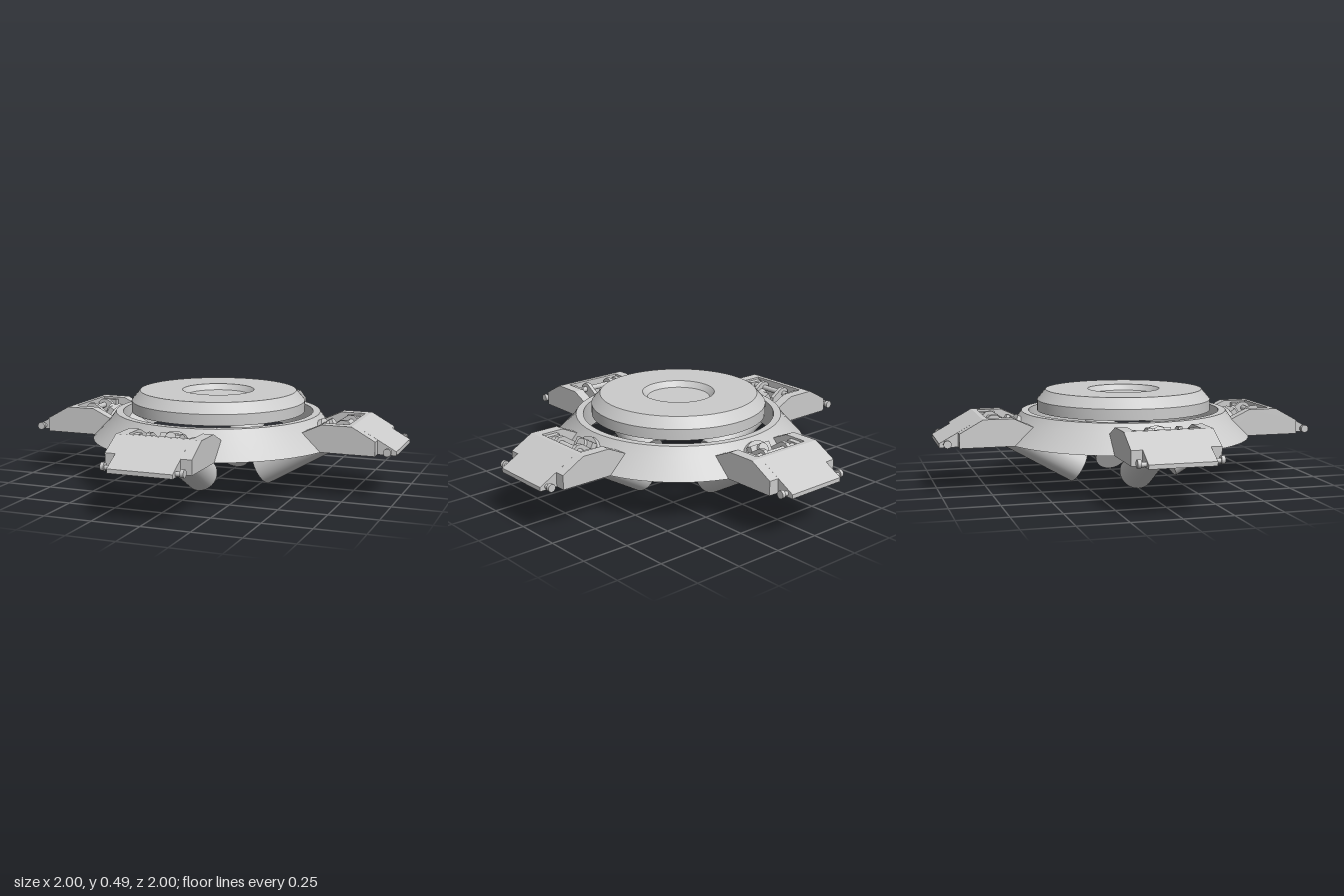
import * as THREE from 'three';
import { toCreasedNormals } from 'three/addons/utils/BufferGeometryUtils.js';

const material = new THREE.MeshStandardMaterial({ color: 0xcccccc });
const shellMaterial = new THREE.MeshStandardMaterial({ color: 0xcccccc, side: THREE.DoubleSide });
const v2 = (points) => points.map(([x, y]) => new THREE.Vector2(x, y));

function add(parent, name, geometry, x = 0, y = 0, z = 0, mat = material) {
  const mesh = new THREE.Mesh(geometry, mat);
  mesh.name = name;
  mesh.position.set(x, y, z);
  parent.add(mesh);
  return mesh;
}

const lathe = (points) => toCreasedNormals(new THREE.LatheGeometry(v2(points), 72), 0.4);

// Side profile (radius, height) extruded across the arm, centred on z = 0
function slab(points, width) {
  const g = new THREE.ExtrudeGeometry(new THREE.Shape(v2(points)), { depth: width, bevelEnabled: false });
  return g.translate(0, 0, -width / 2);
}

// Cylinder lying across the arm
const crossPin = (radius, length) =>
  new THREE.CylinderGeometry(radius, radius, length, 20).rotateX(Math.PI / 2);

// One arm, pointing along +x
function createArm() {
  const arm = new THREE.Group();
  arm.name = 'arm';

  // Sloped outer plate
  add(arm, 'footPlate', slab([[0.76, 0.245], [1, 0.245], [1, 0.266], [0.785, 0.385], [0.76, 0.385]], 0.33));

  // Thruster tilted 30 degrees, its mouth low and towards the centre
  const thruster = new THREE.Group();
  thruster.name = 'thruster';
  thruster.position.set(0.62, 0.3, 0);
  thruster.rotation.z = Math.PI / 6;
  arm.add(thruster);
  add(thruster, 'thrusterTube', new THREE.CylinderGeometry(0.088, 0.088, 0.43, 40).rotateZ(Math.PI / 2), -0.215);
  add(thruster, 'thrusterBracket', new THREE.BoxGeometry(0.03, 0.06, 0.13), 0.015, 0.035);
  add(thruster, 'bracketBolt', new THREE.CylinderGeometry(0.03, 0.03, 0.02, 20).rotateZ(Math.PI / 2), 0.038, 0.035);

  // Hinge pin joining the bracket to the cheeks
  add(arm, 'hingePin', crossPin(0.015, 0.36), 0.712, 0.355);

  for (const side of [-1, 1]) {
    add(arm, 'cheek', slab([[0.53, 0.245], [0.905, 0.245], [0.905, 0.318], [0.785, 0.385],
      [0.633, 0.385], [0.53, 0.337]], 0.055), 0, 0, side * 0.1925);
    add(arm, 'bracketEar', slab([[0.625, 0.29], [0.70, 0.315], [0.745, 0.345], [0.745, 0.37],
      [0.725, 0.388], [0.695, 0.388], [0.63, 0.345]], 0.022), 0, 0, side * 0.076);
    add(arm, 'hingeBoss', new THREE.BoxGeometry(0.08, 0.06, 0.03), 0.712, 0.345, side * 0.148);
    // Bolt at the outer tip
    add(arm, 'tipBoltShaft', crossPin(0.012, 0.05), 0.962, 0.262, side * 0.18);
    add(arm, 'tipBoltHead', crossPin(0.02, 0.018), 0.962, 0.266, side * 0.2);
  }
  return arm;
}

export function createModel() {
  const model = new THREE.Group();
  model.name = 'radialThrusterPlatform';

  // Sloped outer ring, closed cross-section
  add(model, 'outerRing', lathe([[0.505, 0.245], [0.665, 0.245], [0.573, 0.342],
    [0.543, 0.385], [0.505, 0.385], [0.505, 0.245]]));

  // Hollow cap with a bevelled rim and a shallow central recess
  add(model, 'topCap', lathe([[0.46, 0.385], [0.46, 0.442], [0.415, 0.495],
    [0.19, 0.495], [0.165, 0.465], [0, 0.465]]), 0, 0, 0, shellMaterial);

  // Four arms at right angles
  for (let i = 0; i < 4; i++) {
    const arm = createArm();
    arm.rotation.y = i * Math.PI / 2;
    model.add(arm);
  }
  model.position.y = -0.009;
  const root = new THREE.Group();
  root.name = 'model';
  root.add(model);
  return root;
}
